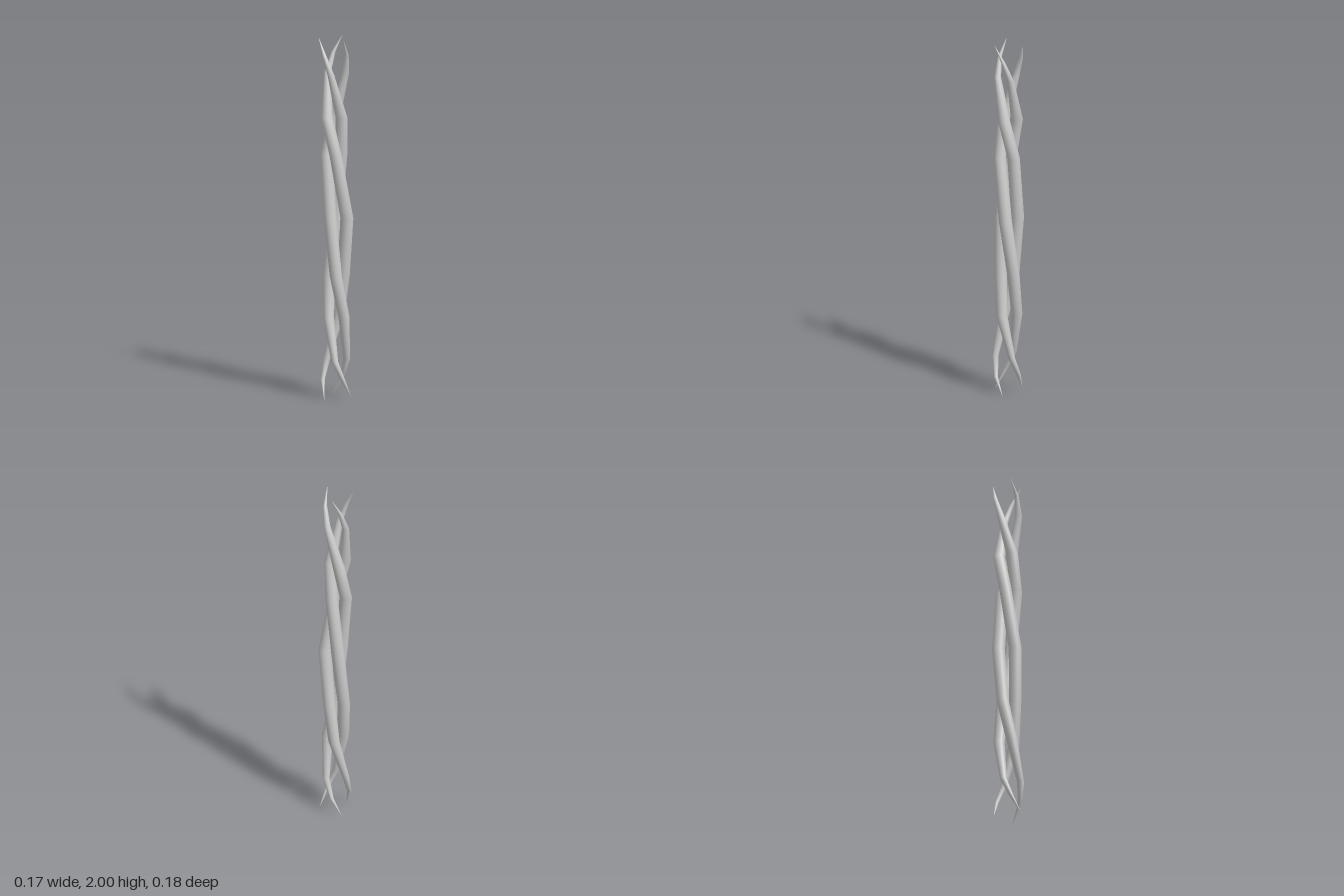
import * as THREE from 'three';

// Sections of one strand, top to bottom:
// [height, turn in degrees, distance from the axis, strand radius, axis x, axis z]
const SECTIONS = [
  [2.0, -160, 0.088, 0.0008, -0.01, 0],
  [1.91, -127, 0.071, 0.011, -0.01, 0],
  [1.8, -92, 0.06, 0.019, -0.011, 0],
  [1.56, -15, 0.046, 0.033, -0.014, 0],
  [1.35, 55, 0.046, 0.034, -0.012, 0],
  [1.0, 120, 0.054, 0.036, 0, -0.01],
  [0.68, 165, 0.046, 0.034, -0.01, -0.01],
  [0.45, 215, 0.05, 0.031, 0, -0.008],
  [0.21, 281, 0.062, 0.019, 0, 0],
  [0.1, 321, 0.073, 0.012, 0, 0],
  [0.0, 360, 0.088, 0.0008, 0, 0],
];
const SIDES = 14;

// Tapered tube lofted through the rings, turned about the axis by offset
function strandGeometry(offset) {
  const positions = [];
  const index = [];
  for (const [y, turn, distance, radius, axisX, axisZ] of SECTIONS) {
    const phi = THREE.MathUtils.degToRad(turn + offset);
    for (let i = 0; i < SIDES; i++) {
      const a = (i / SIDES) * Math.PI * 2;
      positions.push(
        axisX + distance * Math.sin(phi) + radius * Math.sin(a),
        y,
        axisZ + distance * Math.cos(phi) + radius * Math.cos(a),
      );
    }
  }
  for (let row = 0; row < SECTIONS.length - 1; row++) {
    for (let i = 0; i < SIDES; i++) {
      const next = (i + 1) % SIDES;
      const tl = row * SIDES + i;
      const tr = row * SIDES + next;
      const bl = tl + SIDES;
      const br = tr + SIDES;
      index.push(tl, bl, br, tl, br, tr);
    }
  }
  const geometry = new THREE.BufferGeometry();
  geometry.setAttribute('position', new THREE.Float32BufferAttribute(positions, 3));
  geometry.setIndex(index);
  geometry.computeVertexNormals();
  return geometry;
}

export function createModel() {
  const model = new THREE.Group();
  model.name = 'twistedStrands';
  const material = new THREE.MeshStandardMaterial({ color: 0xcccccc });

  // Three strands wound round a common axis
  for (let k = 0; k < 3; k++) {
    const strand = new THREE.Mesh(strandGeometry(k * 120), material);
    strand.name = `strand${k + 1}`;
    model.add(strand);
  }
  return model;
}
